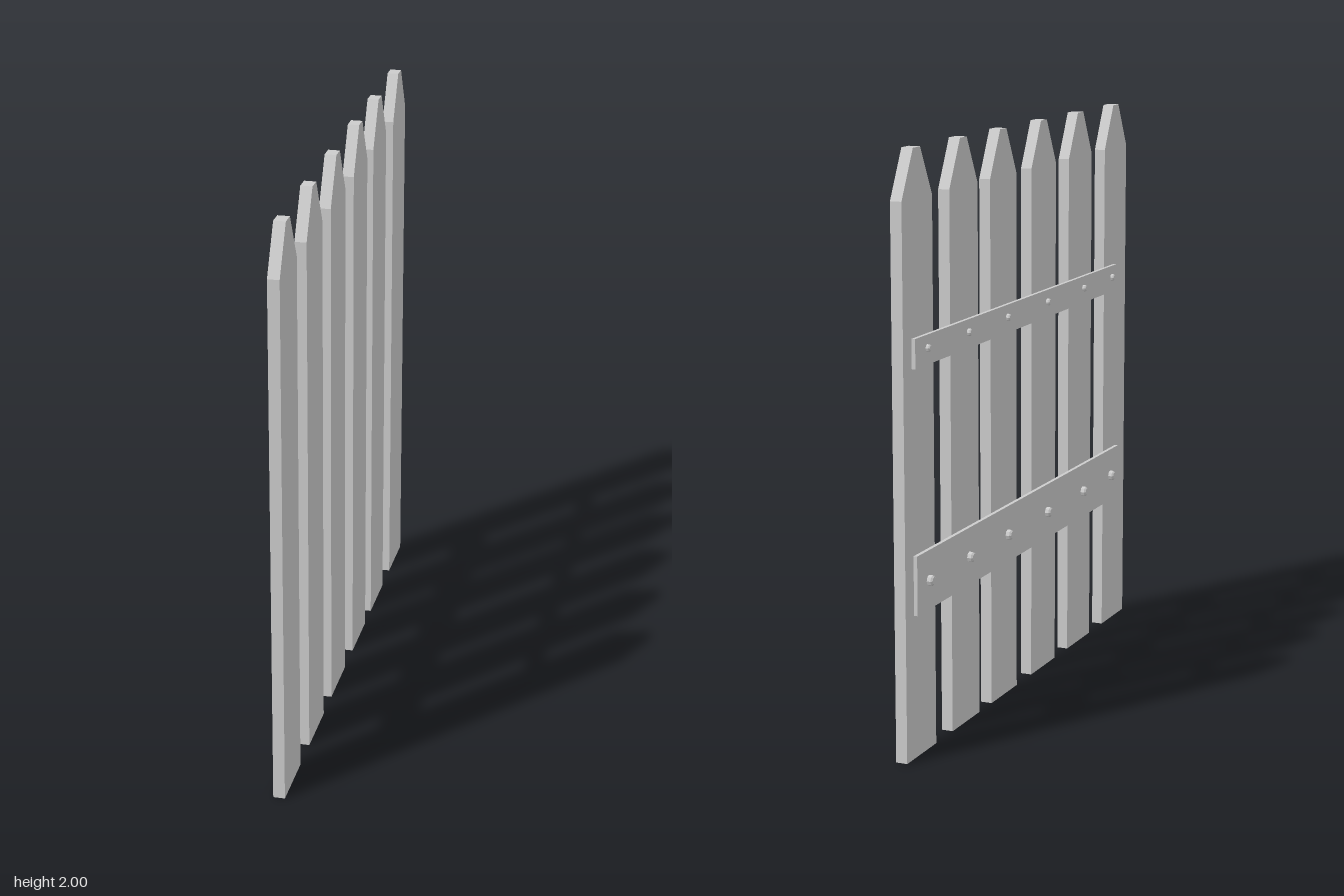
import * as THREE from 'three';

const material = new THREE.MeshStandardMaterial({ color: 0xcccccc, flatShading: true });

// Planks span these depths; rails sit behind them on the -x side
const PLANK_X = [-0.004, 0.036];
const RAIL_X = [-0.017, -0.004];

function add(parent, name, geometry, x, y, z) {
  const mesh = new THREE.Mesh(geometry, material);
  mesh.name = name;
  mesh.position.set(x, y, z);
  parent.add(mesh);
  return mesh;
}

// Pointed board with a small flat tip, extruded along +x
function picketGeometry() {
  const w = 0.11, tip = 0.026;
  const shape = new THREE.Shape([
    [-w, 0], [w, 0], [w, 1.84], [tip, 2], [-tip, 2], [-w, 1.84],
  ].map(([a, b]) => new THREE.Vector2(a, b)));
  const geometry = new THREE.ExtrudeGeometry(shape, { depth: PLANK_X[1] - PLANK_X[0], bevelEnabled: false });
  return geometry.rotateY(Math.PI / 2);
}

// Faceted bolt head with a chamfered rim, pointing along -x
function boltGeometry(radius, height) {
  const profile = [[radius, 0], [radius, height * 0.7], [radius * 0.7, height], [0, height]];
  return new THREE.LatheGeometry(profile.map(([r, h]) => new THREE.Vector2(r, h)), 8)
    .rotateZ(Math.PI / 2);
}

export function createModel() {
  const fence = new THREE.Group();
  fence.name = 'picketFence';

  // Upright boards, slightly unevenly spaced
  const board = picketGeometry();
  for (const z of [-0.856, -0.507, -0.186, 0.165, 0.506, 0.857]) {
    add(fence, 'picket', board, PLANK_X[0], 0, z);
  }

  // Horizontal rails, each with a row of bolts
  const rails = [
    { name: 'upperRail', y: [1.3, 1.398], z: [-0.905, 0.845], boltY: 1.355, radius: 0.012, height: 0.013 },
    { name: 'lowerRail', y: [0.486, 0.686], z: [-0.905, 0.87], boltY: 0.585, radius: 0.018, height: 0.019 },
  ];
  for (const { name, y, z, boltY, radius, height } of rails) {
    const size = ([a, b]) => b - a;
    const mid = ([a, b]) => (a + b) / 2;
    add(fence, name, new THREE.BoxGeometry(size(RAIL_X), size(y), size(z)), mid(RAIL_X), mid(y), mid(z));
    const bolt = boltGeometry(radius, height);
    for (const bz of [-0.818, -0.504, -0.184, 0.167, 0.508, 0.79]) {
      add(fence, 'bolt', bolt, RAIL_X[0], boltY, bz);
    }
  }
  return fence;
}
